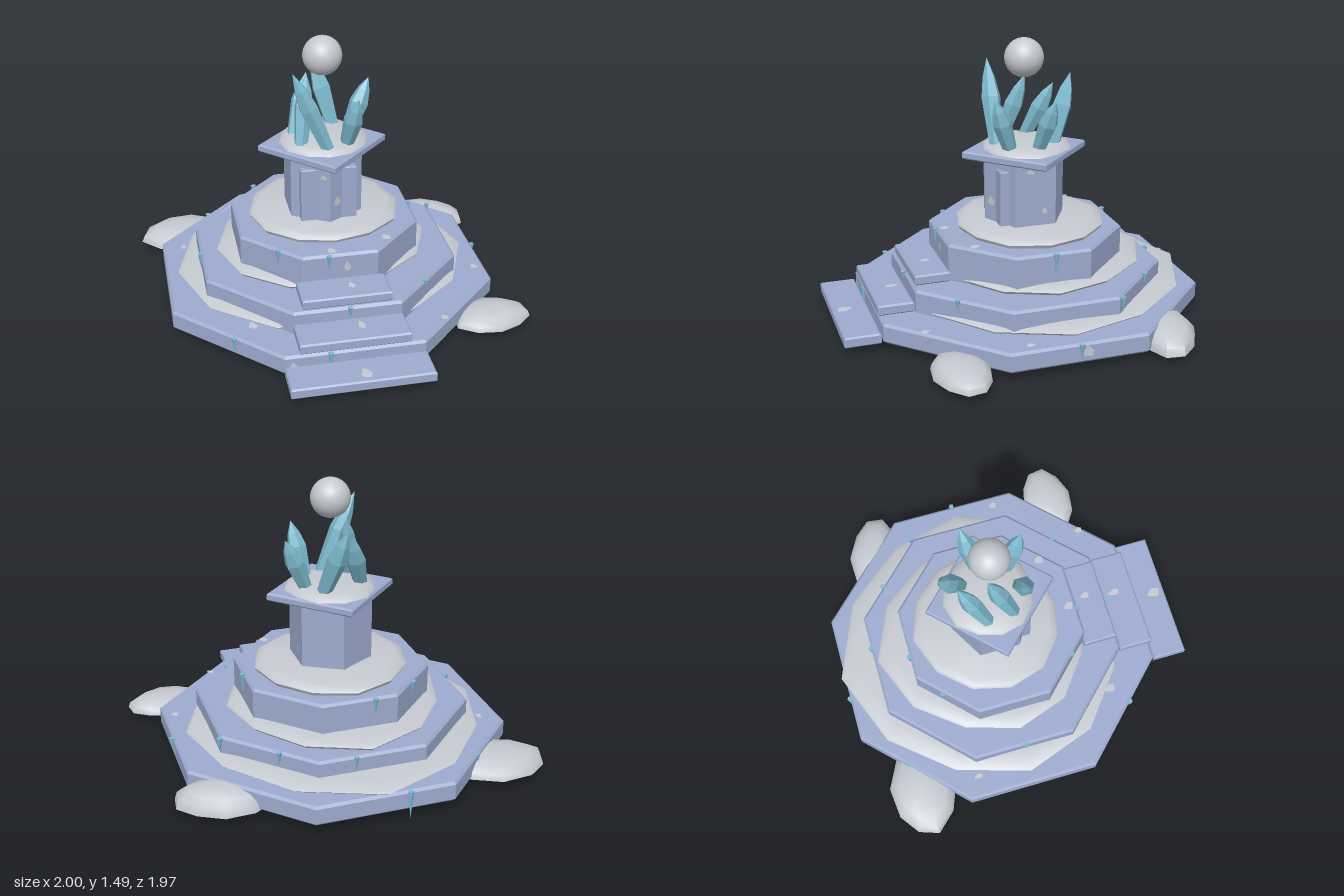
import * as THREE from 'three';
import { toCreasedNormals } from 'three/addons/utils/BufferGeometryUtils.js';

const CX = -0.022, CZ = -0.092; // common axis of the tiers

export function createModel() {
  const group = new THREE.Group();
  const material = (name, color, extra = {}) => {
    const m = new THREE.MeshStandardMaterial({ color, ...extra });
    m.name = name;
    return m;
  };
  const stone = material('blue stone', 0x9dabcf);
  const snow = material('snow grey', 0xc6c9d0);
  const ice = material('ice teal', 0x7cb9cd, { flatShading: true });

  const add = (name, geometry, mat, x = 0, y = 0, z = 0) => {
    const mesh = new THREE.Mesh(geometry, mat);
    mesh.name = name;
    mesh.position.set(x, y, z);
    group.add(mesh);
    return mesh;
  };

  // Bevelled upright prism from outline points [x, z], standing between y0 and y1
  const prism = (name, points, y0, y1, bevel, x, z) => {
    const shape = new THREE.Shape(points.map(([px, pz]) => new THREE.Vector2(px, -pz)));
    const geometry = new THREE.ExtrudeGeometry(shape, {
      depth: y1 - y0 - 2 * bevel, bevelThickness: bevel, bevelSize: bevel,
      bevelOffset: -bevel, bevelSegments: 1,
    });
    geometry.rotateX(-Math.PI / 2);
    return add(name, geometry, stone, x, y0 + bevel, z);
  };
  const polygon = (sides, radius, turn) => Array.from({ length: sides }, (_, i) => {
    const a = turn - (i / sides) * Math.PI * 2;
    return [radius * Math.cos(a), radius * Math.sin(a)];
  });
  const rect = (w, d) => [[-w / 2, d / 2], [w / 2, d / 2], [w / 2, -d / 2], [-w / 2, -d / 2]];

  // Mound: unit profile turned around y, with one radius per direction (from +z towards +x)
  const mound = (name, profile, radii, height, x, y, z, sx = 1, sz = 1) => {
    const n = radii.length;
    const geometry = new THREE.LatheGeometry(profile.map(([r, h]) => new THREE.Vector2(r, h)), n);
    const p = geometry.attributes.position;
    for (let i = 0; i < p.count; i++) {
      const k = radii[Math.floor(i / profile.length) % n];
      p.setXYZ(i, p.getX(i) * k * sx, p.getY(i) * height, p.getZ(i) * k * sz);
    }
    return add(name, toCreasedNormals(geometry, 0.8), snow, x, y, z);
  };

  // Three octagonal tiers
  [[0.873, 0.05, 0.157], [0.682, 0.14, 0.28], [0.484, 0.27, 0.477]].forEach(([apothem, y0, y1]) =>
    prism('octagonTier', polygon(8, apothem / Math.cos(Math.PI / 8), Math.PI / 8), y0, y1, 0.013, CX, CZ));

  // Front steps
  [[0.73, 0.05, 0.107, 0.885], [0.572, 0.165, 0.22, 0.693], [0.47, 0.284, 0.338, 0.485]].forEach(([w, y0, y1, z]) =>
    prism('step', rect(w, 0.19), y0, y1, 0.008, CX, z));

  // Pedestal: hexagonal column, raised panel and diamond slab
  prism('column', polygon(6, 0.222, Math.PI / 6), 0.48, 0.88, 0.005, CX, CZ);
  prism('columnPanel', rect(0.3, 0.12), 0.5, 0.82, 0.004, CX, 0.03);
  prism('topSlab', polygon(4, 0.347, 0), 0.867, 0.91, 0.008, CX, CZ);

  // Snow lying on each tier and on the slab
  const blanket = [[0, 0], [0.97, 0], [1, 0.45], [0.97, 0.75], [0.88, 1], [0, 1.05]];
  mound('lowerSnow', blanket, [0.69, 0.71, 0.75, 0.8, 0.8, 0.84, 0.893, 0.84, 0.8, 0.81, 0.78, 0.73], 0.042, CX, 0.153, CZ);
  mound('middleSnow', blanket, [0.5, 0.5, 0.54, 0.578, 0.58, 0.62, 0.665, 0.62, 0.58, 0.59, 0.57, 0.53], 0.042, CX, 0.277, CZ);
  mound('upperSnow', blanket, [0.372, 0.38, 0.41, 0.42, 0.42, 0.43, 0.445, 0.42, 0.41, 0.406, 0.4, 0.38], 0.048, CX, 0.474, CZ);
  const drift = [[0, 0], [1, 0], [0.95, 0.4], [0.75, 0.75], [0.4, 0.95], [0, 1]];
  mound('slabSnow', drift, [0.228, 0.235, 0.24, 0.252, 0.24, 0.25, 0.253, 0.25, 0.235, 0.237, 0.24, 0.23], 0.045, CX, 0.908, CZ);

  // Snow drifts on the ground
  const lumps = [1, 0.96, 1.03, 1, 0.95, 1.04, 1, 0.97, 1.05, 1];
  [[-0.72, -0.69, 0.28, 0.185, 0.085, 0.15], [0.7, -0.61, 0.25, 0.155, 0.105, 0.2], [0.782, 0.495, 0.21, 0.145, 0.07, -0.1]]
    .forEach(([x, z, rx, rz, h, turn]) => {
      mound('groundDrift', drift, lumps, h, x, 0.05, z, rx, rz).rotation.y = -turn;
    });

  // Floating orb
  add('orb', new THREE.SphereGeometry(0.104, 32, 20), snow, CX, 1.39, -0.088);

  // Crystal cluster: each crystal runs from its base to its tip
  const up = new THREE.Vector3(0, 1, 0);
  [
    [[0.06, 0.92, -0.22], [-0.03, 1.29, -0.35]],
    [[0.12, 0.92, -0.12], [0.245, 1.215, -0.17]],
    [[0.085, 0.92, 0.02], [0.13, 1.215, 0.12]],
    [[-0.02, 0.92, 0.065], [-0.205, 1.36, 0.06]],
    [[-0.17, 0.92, -0.14], [-0.075, 1.23, -0.27]],
    [[-0.155, 0.92, 0], [-0.1, 1.28, -0.12]],
  ].forEach(([from, to]) => {
    const base = new THREE.Vector3(...from);
    const axis = new THREE.Vector3(...to).sub(base);
    const length = axis.length();
    const profile = [[0, -0.03], [0.036, 0], [0.052, 0.55 * length], [0.034, 0.78 * length], [0, length]];
    const geometry = new THREE.LatheGeometry(profile.map(([r, h]) => new THREE.Vector2(r, h)), 6);
    add('crystal', geometry, ice, ...from).quaternion.setFromUnitVectors(up, axis.normalize());
  });

  // Icicles hanging from the tier edges: x, top, z, length
  [
    [-0.145, 0.155, -0.968, 0.155], [-0.15, 0.155, 0.783, 0.155], [-0.6, 0.155, -0.745, 0.08],
    [0.855, 0.155, -0.095, 0.07], [-0.605, 0.155, 0.565, 0.08],
    [0.07, 0.28, -0.777, 0.08], [0.42, 0.28, -0.62, 0.07], [0.665, 0.28, -0.39, 0.08],
    [-0.705, 0.28, -0.085, 0.1], [0.435, 0.28, 0.415, 0.06], [-0.01, 0.28, 0.592, 0.06],
    [-0.1, 0.475, -0.58, 0.09], [-0.355, 0.475, -0.455, 0.08], [0.465, 0.475, -0.1, 0.11],
    [-0.33, 0.475, 0.285, 0.09], [-0.08, 0.475, 0.394, 0.1],
  ].forEach(([x, top, z, length]) => {
    const cone = new THREE.ConeGeometry(0.016, length, 5);
    cone.rotateX(Math.PI);
    add('icicle', cone, ice, x, top - length / 2, z);
  });

  // Thin frost patches: position, facing direction, half width, half height
  const patch = new THREE.CircleGeometry(1, 7);
  for (let i = 1; i < patch.attributes.position.count; i++) {
    const k = [1, 0.75, 1.1, 0.85, 1, 0.7, 0.95][(i - 1) % 7];
    patch.attributes.position.setXY(i, patch.attributes.position.getX(i) * k, patch.attributes.position.getY(i) * k);
  }
  [
    [0.02, 0.63, 0.108, 0.5, 0, 0.866, 0.025, 0.03], [-0.055, 0.78, 0.113, -0.5, 0, 0.866, 0.02, 0.015],
    [0.173, 0.82, -0.06, 1, 0, 0, 0.025, 0.014], [0.173, 0.6, -0.14, 1, 0, 0, 0.015, 0.02],
    [0.25, 0.479, 0.27, 0, 1, 0, 0.025, 0.03], [-0.06, 0.479, 0.35, 0, 1, 0, 0.025, 0.03],
    [-0.78, 0.159, -0.38, 0, 1, 0, 0.015, 0.03], [-0.5, 0.159, 0.48, 0, 1, 0, 0.025, 0.035],
    [0.49, 0.159, 0.6, 0, 1, 0, 0.02, 0.025], [0.79, 0.159, 0.15, 0, 1, 0, 0.02, 0.025],
    [0, 0.109, 0.92, 0, 1, 0, 0.03, 0.045], [0.03, 0.222, 0.67, 0, 1, 0, 0.02, 0.04],
    [0.02, 0.34, 0.48, 0, 1, 0, 0.02, 0.03], [-0.34, 0.1, 0.783, 0, 0, 1, 0.02, 0.025],
    [0.015, 0.4, 0.394, 0, 0, 1, 0.02, 0.03], [0.853, 0.11, -0.13, 1, 0, 0, 0.03, 0.035],
  ].forEach(([x, y, z, nx, ny, nz, w, h]) => {
    const mesh = add('frostPatch', patch, snow, x, y, z);
    mesh.lookAt(x + nx, y + ny, z + nz);
    mesh.scale.set(w, h, 1);
  });

  return group;
}
